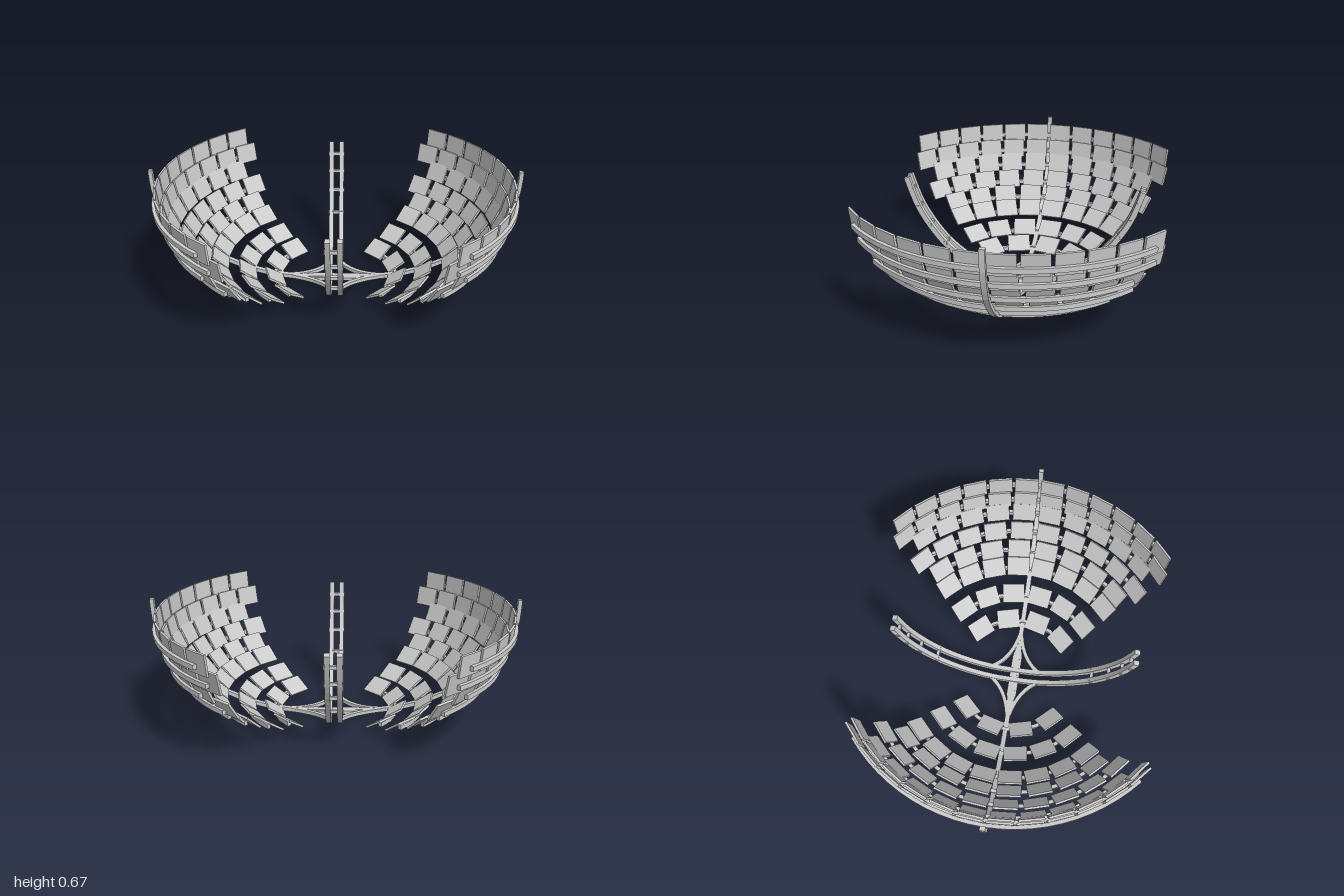
import * as THREE from 'three';

const material = new THREE.MeshStandardMaterial({ color: 0xcccccc, flatShading: true });
const V = (x, y, z) => new THREE.Vector3(x, y, z);

function add(parent, name, geometry) {
  const mesh = new THREE.Mesh(geometry, material);
  mesh.name = name;
  parent.add(mesh);
  return mesh;
}

// Rectangular bar swept along points; "side" is the fixed width direction
function sweep(points, side, width, thick) {
  const pos = [], index = [];
  points.forEach((p, i) => {
    const t = points[Math.min(i + 1, points.length - 1)].clone()
      .sub(points[Math.max(i - 1, 0)]).normalize();
    const n = t.clone().cross(side).normalize();
    for (const [a, b] of [[1, 1], [-1, 1], [-1, -1], [1, -1]]) {
      const c = p.clone().addScaledVector(side, a * width / 2).addScaledVector(n, b * thick / 2);
      pos.push(c.x, c.y, c.z);
    }
  });
  for (let i = 0; i < points.length - 1; i++) {
    for (let j = 0; j < 4; j++) {
      const a = i * 4 + j, b = i * 4 + (j + 1) % 4;
      index.push(a, b, b + 4, a, b + 4, a + 4);
    }
  }
  const e = (points.length - 1) * 4;
  index.push(0, 3, 2, 0, 2, 1, e, e + 1, e + 2, e, e + 2, e + 3);
  const g = new THREE.BufferGeometry();
  g.setAttribute('position', new THREE.Float32BufferAttribute(pos, 3));
  g.setIndex(index);
  const flat = g.toNonIndexed();
  flat.computeVertexNormals();
  return flat;
}

// Full symmetric arc from a half profile of [distance, height]
function archPoints(half, toPoint, count) {
  const all = [...half.slice(1).reverse().map(([d, y]) => [-d, y]), ...half];
  return new THREE.CatmullRomCurve3(all.map(([d, y]) => toPoint(d, y))).getSpacedPoints(count);
}

// Rows: hoop radius, hoop height, end angle (deg), tile count, tile tilt (deg)
const ROWS = [
  [0.34, 0.04, 44, 4, 33],
  [0.49, 0.08, 46, 6, 36],
  [0.64, 0.15, 46, 8, 43],
  [0.73, 0.212, 45, 8, 52],
  [0.815, 0.285, 50, 10, 58],
  [0.89, 0.375, 45, 10, 66],
  [0.925, 0.462, 51.4, 12, 78],
  [0.96, 0.557, 49, 12, 84],
];

function buildWing() {
  const wing = new THREE.Group();
  for (const [r, y, endDeg, count, tiltDeg] of ROWS) {
    const end = THREE.MathUtils.degToRad(endDeg);
    const tilt = THREE.MathUtils.degToRad(tiltDeg);
    // Curved hoop carrying the row
    const pts = [];
    const steps = (count - 1) * 2;
    for (let i = 0; i <= steps; i++) {
      const a = -end + 2 * end * i / steps;
      pts.push(V(r * Math.cos(a), y, r * Math.sin(a)));
    }
    add(wing, 'hoop', sweep(pts, V(0, 1, 0), 0.025, 0.02));
    // Flat tiles leaning outwards on the inner face of the hoop
    for (let i = 0; i < count; i++) {
      const holder = new THREE.Group();
      holder.name = 'tileHolder';
      holder.rotation.y = -end + 2 * end * i / (count - 1);
      const tile = add(holder, 'tile', new THREE.BoxGeometry(0.012, 0.112, 0.132));
      const off = 0.017, up = 0.016;
      tile.position.set(
        r - Math.sin(tilt) * off + Math.cos(tilt) * up,
        y + Math.cos(tilt) * off + Math.sin(tilt) * up, 0);
      tile.rotation.z = tilt - Math.PI / 2;
      wing.add(holder);
    }
  }
  return wing;
}

export function createModel() {
  const model = new THREE.Group();
  model.name = 'tiledBowl';

  // Tiled wings on both sides
  for (const [name, turn] of [['leftWing', 0], ['rightWing', Math.PI]]) {
    const wing = buildWing();
    wing.name = name;
    wing.rotation.y = turn;
    model.add(wing);
  }

  // Main rib running side to side under the wings
  const ribHalf = [[0, 0.012], [0.2, 0.017], [0.35, 0.036], [0.5, 0.08], [0.65, 0.148],
    [0.75, 0.208], [0.845, 0.288], [0.92, 0.378], [0.958, 0.46], [0.984, 0.555], [0.99, 0.67]];
  add(model, 'mainRib', sweep(archPoints(ribHalf, (d, y) => V(d, y, 0), 48), V(0, 0, 1), 0.028, 0.022));

  // Twin rails running front to back
  const railHalf = [[0, 0.016], [0.12, 0.023], [0.24, 0.062], [0.35, 0.127], [0.44, 0.205],
    [0.525, 0.315], [0.585, 0.42], [0.622, 0.52], [0.643, 0.59]];
  for (const x of [-0.03, 0.03]) {
    add(model, 'rail', sweep(archPoints(railHalf, (d, y) => V(x, y, d), 40), V(1, 0, 0), 0.027, 0.03));
  }

  // Rungs joining the rails
  for (const s of [-1, 1]) {
    for (const [z, y] of [[0.44, 0.21], [0.525, 0.32], [0.587, 0.42], [0.622, 0.52]]) {
      add(model, 'rung', new THREE.BoxGeometry(0.094, 0.018, 0.018)).position.set(0, y, s * z);
    }
  }

  // Curved braces between rib and rails
  for (const sx of [-1, 1]) {
    for (const sz of [-1, 1]) {
      const curve = new THREE.QuadraticBezierCurve3(
        V(sx * 0.25, 0.022, sz * 0.006), V(sx * 0.1, 0.014, sz * 0.035), V(sx * 0.035, 0.026, sz * 0.135));
      add(model, 'brace', sweep(curve.getPoints(10), V(0, 1, 0), 0.02, 0.022));
    }
  }

  // Hub plate at the crossing
  const plate = new THREE.Shape([[-0.24, 0], [-0.12, -0.028], [0.12, -0.028], [0.24, 0],
    [0.12, 0.028], [-0.12, 0.028]].map(([x, z]) => new THREE.Vector2(x, z)));
  const hub = add(model, 'hubPlate', new THREE.ExtrudeGeometry(plate, { depth: 0.018, bevelEnabled: false }));
  hub.rotation.x = -Math.PI / 2;
  hub.position.y = 0.004;

  return model;
}
